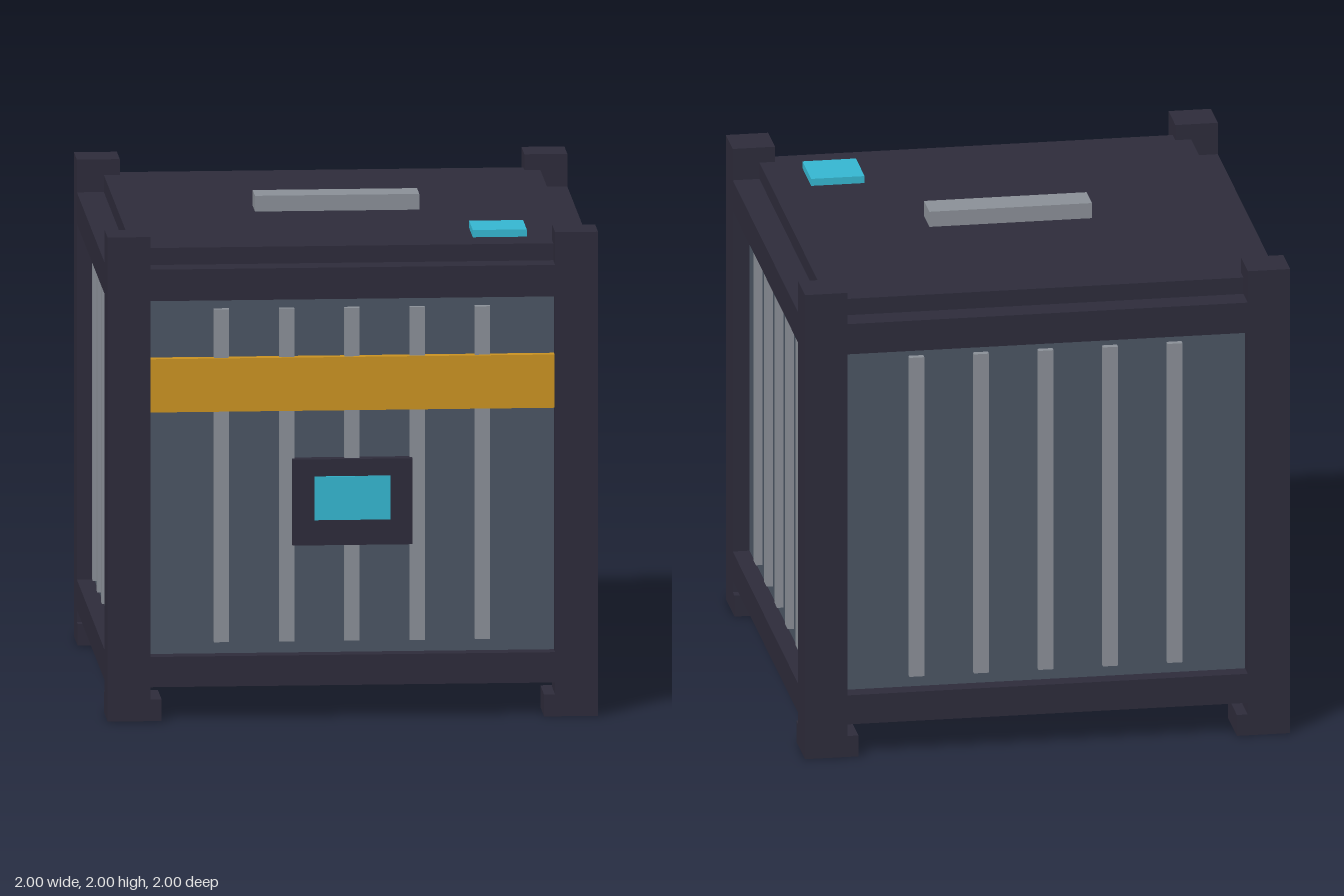
import * as THREE from 'three';

const mat = (name, color) => Object.assign(new THREE.MeshStandardMaterial({ color }), { name });

export function createModel() {
  const dark = mat('darkFrame', 0x2d2b3a);
  const slate = mat('slatePanel', 0x4b5563);
  const grey = mat('greyMetal', 0x8a8f97);
  const amber = mat('amberStripe', 0xc99222);
  const cyan = mat('cyanGlow', 0x35b6d0);

  const model = new THREE.Group();
  model.name = 'cargoCrate';

  // Box given by its lower and upper corners
  function box(parent, name, material, [x0, y0, z0], [x1, y1, z1]) {
    const mesh = new THREE.Mesh(new THREE.BoxGeometry(x1 - x0, y1 - y0, z1 - z0), material);
    mesh.position.set((x0 + x1) / 2, (y0 + y1) / 2, (z0 + z1) / 2);
    mesh.name = name;
    parent.add(mesh);
    return mesh;
  }

  // Recessed body and lid
  box(model, 'body', slate, [-0.93, 0.16, -0.93], [0.93, 1.85, 0.93]);
  box(model, 'lid', dark, [-0.89, 1.8, -0.89], [0.89, 1.935, 0.89]);

  // Corner posts with wider feet
  for (const sx of [-1, 1]) {
    for (const sz of [-1, 1]) {
      const corner = new THREE.Group();
      corner.name = 'cornerPost';
      const post = box(corner, 'post', dark, [0, 0.09, 0], [0.175, 2, 0.175]);
      post.position.x = sx * 0.9125;
      post.position.z = sz * 0.9125;
      const foot = box(corner, 'foot', dark, [0, 0, 0], [0.22, 0.09, 0.22]);
      foot.position.x = sx * 0.89;
      foot.position.z = sz * 0.89;
      model.add(corner);
    }
  }

  // Rails and ribs, repeated on each of the four sides
  for (let i = 0; i < 4; i++) {
    const side = new THREE.Group();
    side.name = ['frontSide', 'leftSide', 'backSide', 'rightSide'][i];
    side.rotation.y = i * Math.PI / 2;
    box(side, 'bottomRail', dark, [-0.825, 0.14, 0.87], [0.825, 0.265, 1]);
    box(side, 'topRail', dark, [-0.825, 1.735, 0.87], [0.825, 1.865, 1]);
    for (let k = -2; k <= 2; k++) {
      const x = k * 0.266;
      box(side, 'rib', grey, [x - 0.031, 0.315, 0.92], [x + 0.031, 1.69, 0.957]);
    }
    model.add(side);
  }

  // Front stripe and display
  box(model, 'stripe', amber, [-0.825, 1.27, 0.92], [0.825, 1.49, 0.972]);
  box(model, 'displayFrame', dark, [-0.245, 0.715, 0.92], [0.245, 1.07, 0.982]);
  box(model, 'displayScreen', cyan, [-0.155, 0.82, 0.981], [0.155, 1.0, 0.99]);

  // Lid handle and status light
  box(model, 'handle', grey, [-0.335, 1.93, -0.068], [0.335, 2, 0.068]);
  box(model, 'statusLight', cyan, [0.508, 1.93, 0.508], [0.728, 1.965, 0.728]);

  return model;
}
